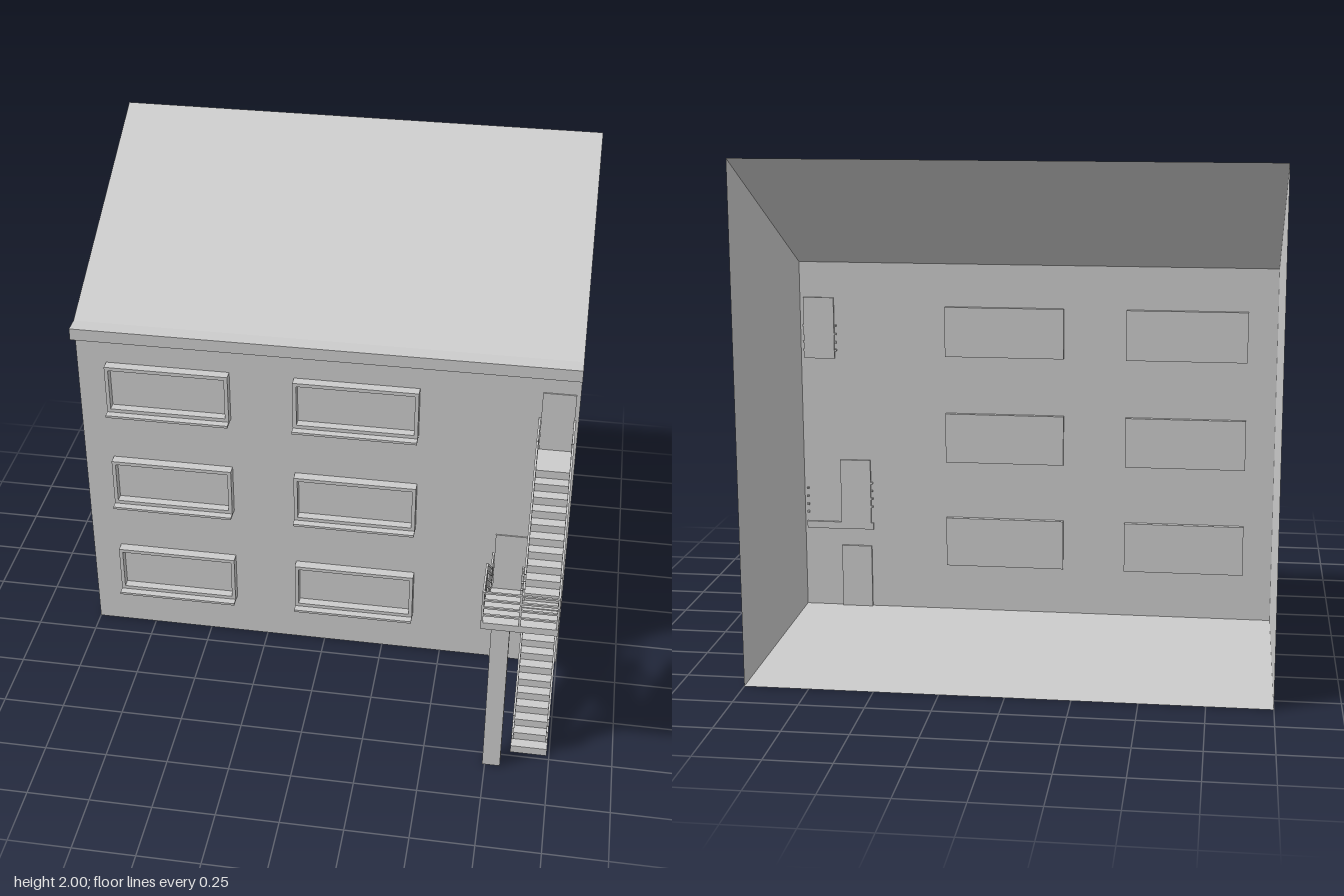
import * as THREE from 'three';

const grey = new THREE.MeshStandardMaterial({ color: 0xcccccc, side: THREE.DoubleSide, flatShading: true });
const WALL = 0.16, BACK = -0.84; // front wall and open back, in z
const RISE = 0.034, RUN = 0.042, LEVELS = 11;

function add(parent, name, geometry) {
  const mesh = new THREE.Mesh(geometry, grey);
  mesh.name = name;
  parent.add(mesh);
  return mesh;
}

// Box given by its limits on each axis
function box(parent, name, [x0, x1], [y0, y1], [z0, z1]) {
  const mesh = add(parent, name, new THREE.BoxGeometry(x1 - x0, y1 - y0, z1 - z0));
  mesh.position.set((x0 + x1) / 2, (y0 + y1) / 2, (z0 + z1) / 2);
  return mesh;
}

function group(parent, name) {
  const g = new THREE.Group();
  g.name = name;
  parent.add(g);
  return g;
}

// Thin square bar between two points
function bar(parent, name, a, b, t = 0.008) {
  const p = new THREE.Vector3(...a), q = new THREE.Vector3(...b);
  const mesh = add(parent, name, new THREE.BoxGeometry(t, t, p.distanceTo(q)));
  mesh.position.copy(p).add(q).multiplyScalar(0.5);
  mesh.lookAt(q);
}

// Flat panel through four corners
function panel(parent, name, corners) {
  const g = new THREE.BufferGeometry();
  g.setAttribute('position', new THREE.Float32BufferAttribute(corners.flat(), 3));
  g.setIndex([0, 1, 2, 0, 2, 3]);
  g.computeVertexNormals();
  add(parent, name, g);
}

// Stepped flight: climbs from z = start along dir, ends in a flat landing at z = end
function flight(parent, name, [x0, x1], y, start, dir, end) {
  const length = Math.abs(end - start), top = RISE * LEVELS;
  const shape = new THREE.Shape();
  shape.moveTo(0, 0);
  for (let i = 0; i < LEVELS; i++) {
    shape.lineTo(i * RUN, (i + 1) * RISE);
    shape.lineTo(i < LEVELS - 1 ? (i + 1) * RUN : length, (i + 1) * RISE);
  }
  shape.lineTo(length, top - 0.03);
  shape.lineTo(0.475, top - 0.03);
  shape.lineTo(0.06, 0);
  const g = new THREE.ExtrudeGeometry(shape, { depth: x1 - x0, bevelEnabled: false });
  g.rotateY(-dir * Math.PI / 2); // run along +z or -z
  g.translate(dir > 0 ? x1 : x0, y, start);
  add(parent, name, g);
}

// Four parallel bars along a path of [x, y, z], the first at the given height
function rails(parent, name, path) {
  const g = group(parent, name);
  for (let k = 0; k < 4; k++)
    for (let i = 1; i < path.length; i++) {
      const [a, b] = [path[i - 1], path[i]].map(([x, y, z]) => [x, y - k * 0.035, z]);
      bar(g, 'railBar', a, b);
    }
  return g;
}

function addWindow(parent, x, y) {
  const g = group(parent, 'window');
  const l = x - 0.25, r = x + 0.25, t = 0.015, b = y + 0.01, top = y + 0.22;
  box(g, 'windowPane', [l, r], [b, top], [0.14, 0.165]);
  box(g, 'frameTop', [l, r], [top - t, top], [WALL, 0.2]);
  box(g, 'frameBottom', [l, r], [b, b + t], [WALL, 0.2]);
  box(g, 'frameRight', [l, l + t], [b, top], [WALL, 0.2]);
  box(g, 'frameLeft', [r - t, r], [b, top], [WALL, 0.2]);
  box(g, 'windowSill', [l, r], [y, b], [WALL, 0.23]);
}

export function createModel() {
  const model = new THREE.Group();
  model.name = 'buildingWithStairs';

  // Shell, open at the back
  const shell = group(model, 'shell');
  panel(shell, 'frontWall', [[-1, 0, WALL], [1, 0, WALL], [1, 1.5, WALL], [-1, 1.5, WALL]]);
  panel(shell, 'roof', [[-1, 1.5, WALL], [1, 1.5, WALL], [1, 2, BACK], [-1, 2, BACK]]);
  panel(shell, 'floor', [[-1, 0, BACK], [1, 0, BACK], [1, 0, WALL], [-1, 0, WALL]]);
  panel(shell, 'leftWall', [[1, 0, WALL], [1, 0, BACK], [1, 2, BACK], [1, 1.5, WALL]]);
  panel(shell, 'rightWall', [[-1, 0, BACK], [-1, 0, WALL], [-1, 1.5, WALL], [-1, 2, BACK]]);
  box(shell, 'cornice', [-1, 1], [1.45, 1.5], [WALL, 0.225]);

  // Windows and doors
  for (const x of [-0.63, 0.13])
    for (const y of [0.19, 0.645, 1.1]) addWindow(model, x, y);
  box(model, 'groundDoor', [0.71, 0.84], [0, 0.27], [0.15, 0.165]);
  box(model, 'middleDoor', [0.71, 0.84], [0.37, 0.65], [0.15, 0.165]);
  box(model, 'topDoor', [0.855, 0.985], [1.09, 1.35], [0.15, 0.165]);

  // Flights, landings and column
  const stairs = group(model, 'stairs');
  const outer = [0.845, 0.99], inner = [0.7, 0.845];
  flight(stairs, 'lowerFlight', outer, 0, 0.73, -1, 0.15);
  flight(stairs, 'middleFlight', inner, 0.371, 0.25, 1, 0.84);
  flight(stairs, 'upperFlight', outer, 0.715, 0.73, -1, WALL);
  box(stairs, 'lowerLanding', inner, [0.345, 0.374], [0.15, 0.31]);
  box(stairs, 'turnPlatform', outer, [0.715, 0.745], [0.67, 0.84]);
  box(stairs, 'column', [0.74, 0.81], [0, 0.72], [0.765, 0.815]);

  // Railings of the lower and upper flights
  for (const y of [0, 0.71])
    for (const x of [0.85, 0.985]) {
      const end = y === 0 && x < 0.9 ? [] : [[x, y + 0.52, 0.15]];
      const g = rails(stairs, 'flightRailing', [[x, y + 0.195, 0.73], [x, y + 0.52, 0.325], ...end]);
      for (const z of [0.325, 0.48, 0.595, 0.705]) {
        const top = y + 0.52 - (z - 0.325) * 0.8;
        bar(g, 'railPost', [x, top, z], [x, top - 0.165, z]);
      }
    }

  // Railings of the middle flight
  for (const x of [0.705, 0.84]) {
    const isOuter = x < 0.8;
    const path = [[x, 0.55, 0.26], [x, 0.885, 0.665]];
    if (isOuter) {
      path.unshift([x, 0.55, 0.15]);
      path.push([x, 0.885, 0.835]);
    }
    const g = rails(stairs, 'middleRailing', path);
    for (const z of [0.27, 0.4, 0.51, 0.655]) {
      const top = 0.55 + (z - 0.26) * 0.827;
      bar(g, 'railPost', [x, top, z], [x, top - 0.17, z]);
    }
  }

  // Railing around the turn platform
  const turn = rails(stairs, 'platformRailing', [[0.705, 0.885, 0.835], [0.985, 0.885, 0.835], [0.985, 0.885, 0.69]]);
  for (const x of [0.705, 0.845, 0.985]) bar(turn, 'railPost', [x, 0.885, 0.835], [x, 0.73, 0.835]);

  return model;
}
